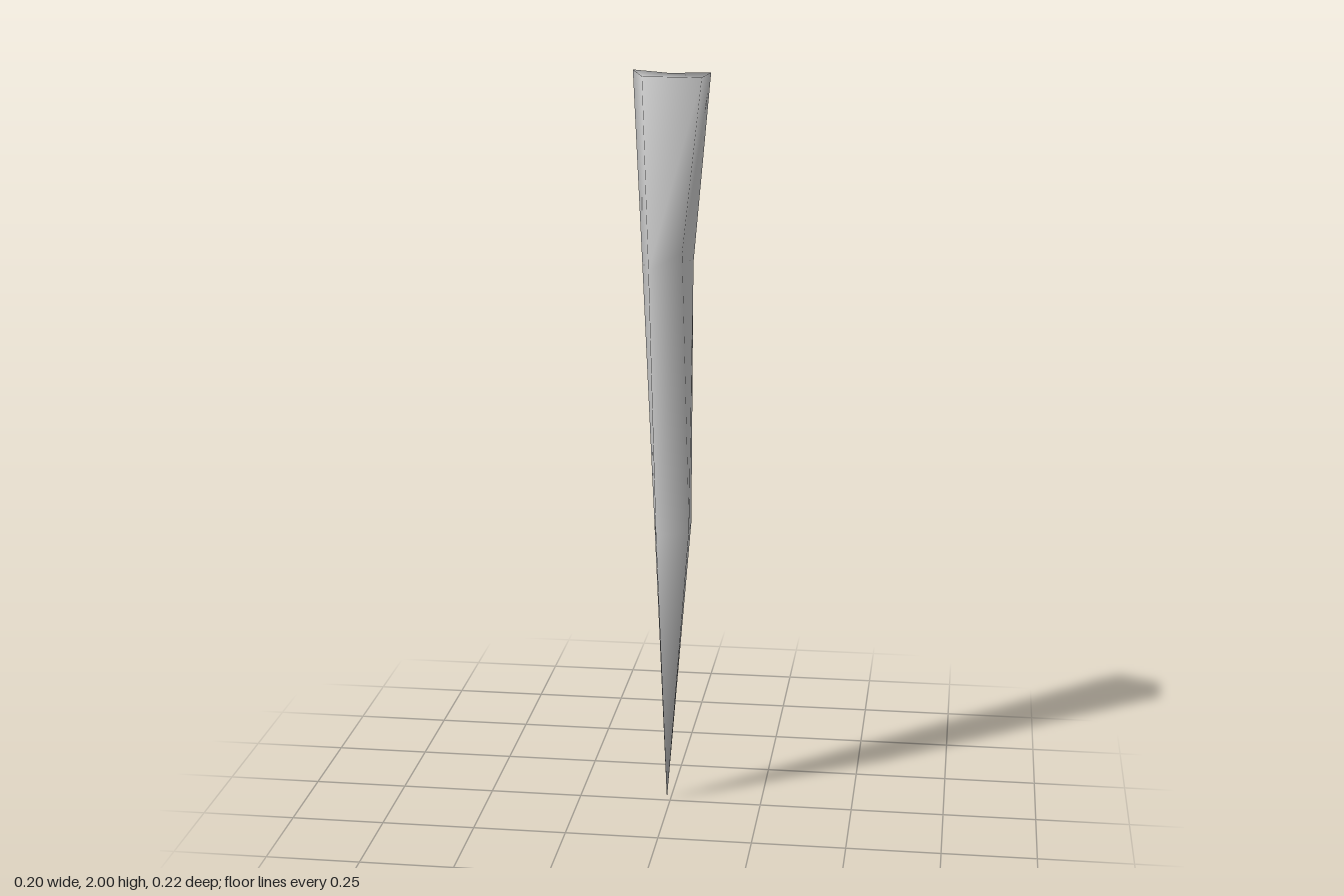
import * as THREE from 'three';

// Irregular five-sided rings from top to bottom: [x, y, z] per corner
const RINGS = [
  [[-0.017, 1.985, -0.11], [0.10, 1.995, -0.045], [0.09, 1.995, 0.073], [-0.057, 2, 0.11], [-0.102, 2, -0.043]],
  [[-0.015, 1.5, -0.064], [0.056, 1.5, -0.042], [0.043, 1.55, 0.09], [-0.045, 1.5, 0.086], [-0.078, 1.5, -0.035]],
  [[-0.012, 0.8, -0.047], [0.055, 0.8, -0.02], [0.058, 0.8, 0.055], [-0.03, 0.78, 0.06], [-0.046, 0.8, -0.025]],
];
const TIP = [-0.01, 0, -0.01];

export function createModel() {
  const group = new THREE.Group();
  group.name = 'spike';
  const n = 5;
  const points = [...RINGS.flat(), TIP];
  const index = [];

  // Side walls between rings
  for (let r = 0; r < RINGS.length - 1; r++) {
    for (let i = 0; i < n; i++) {
      const a = r * n + i, b = r * n + (i + 1) % n;
      index.push(a, b, b + n, a, b + n, a + n);
    }
  }
  // Point at the bottom
  const last = (RINGS.length - 1) * n;
  for (let i = 0; i < n; i++) index.push(last + i, last + (i + 1) % n, points.length - 1);
  // Top cap
  for (let i = 1; i < n - 1; i++) index.push(0, i + 1, i);

  const geometry = new THREE.BufferGeometry();
  geometry.setAttribute('position', new THREE.Float32BufferAttribute(points.flat(), 3));
  geometry.setIndex(index);
  geometry.computeVertexNormals();

  const shaft = new THREE.Mesh(geometry, new THREE.MeshStandardMaterial({ color: 0xcccccc }));
  shaft.name = 'taperedShaft';
  group.add(shaft);
  return group;
}
